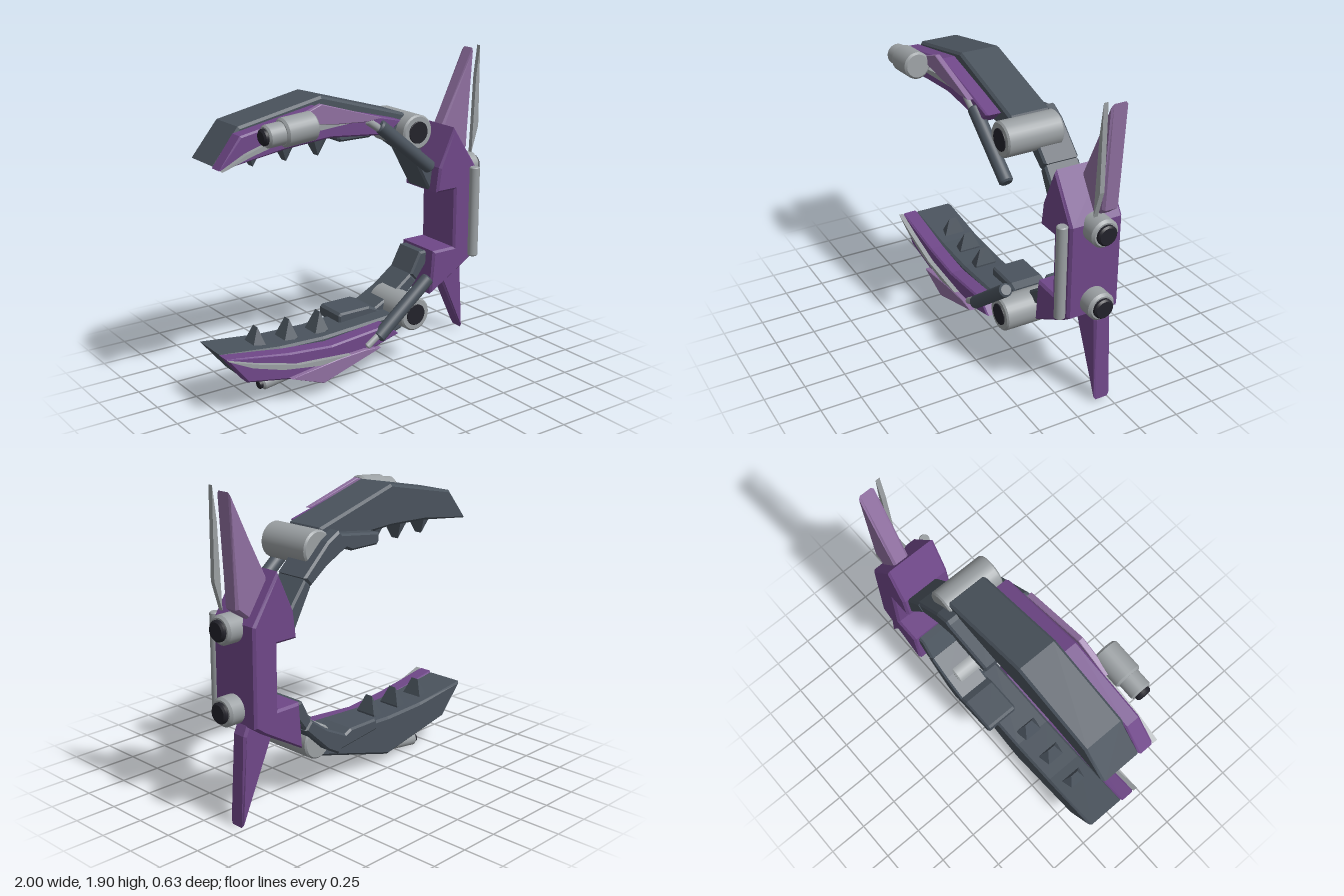
import * as THREE from 'three';

const mat = (name, color) => {
  const m = new THREE.MeshStandardMaterial({ color });
  m.name = name;
  return m;
};
const MID = 1.825; // twice the height of the mirror plane between the two jaws

export function createModel() {
  const root = new THREE.Group();
  root.name = 'jawShip';
  const slate = mat('slate', 0x4a535d);
  const purple = mat('purple', 0x6f4788);
  const lilac = mat('lilac', 0x8f6fa0);
  const grey = mat('grey', 0x9a9fa2);
  const black = mat('black', 0x22222a);

  const add = (parent, name, geometry, material) => {
    const mesh = new THREE.Mesh(geometry, material);
    mesh.name = name;
    parent.add(mesh);
    return mesh;
  };

  // Plate with chamfered edges, spanning z0 to z1
  const plate = (parent, name, pts, z0, z1, material, bevel = 0.012) => {
    const shape = new THREE.Shape(pts.map(([x, y]) => new THREE.Vector2(x, y)));
    const g = new THREE.ExtrudeGeometry(shape, {
      depth: z1 - z0 - 2 * bevel, bevelEnabled: bevel > 0, bevelThickness: bevel,
      bevelSize: bevel, bevelOffset: -bevel, bevelSegments: 1,
    });
    g.translate(0, 0, z0 + bevel);
    return add(parent, name, g, material);
  };

  // Cylinder with softened rims between two points
  const rod = (parent, name, a, b, r, material, rim = 0.01) => {
    const p = new THREE.Vector3(...a), q = new THREE.Vector3(...b);
    const h = p.distanceTo(q);
    const profile = [[0, 0], [r - rim, 0], [r - rim, 0], [r, rim], [r, rim], [r, h - rim],
      [r, h - rim], [r - rim, h], [r - rim, h], [0, h]];
    const g = new THREE.LatheGeometry(profile.map(([x, y]) => new THREE.Vector2(x, y)), 28);
    const mesh = add(parent, name, g, material);
    mesh.position.copy(p);
    mesh.quaternion.setFromUnitVectors(new THREE.Vector3(0, 1, 0), q.sub(p).normalize());
    return mesh;
  };

  // Wedge tooth narrowing to a short ridge
  const tooth = (parent, x, fy) => {
    const shape = new THREE.Shape([[-0.07, 0.28], [0.025, 0.28], [0.03, 0.33], [0, 0.435]]
      .map(([dx, y]) => new THREE.Vector2(x + dx, fy(y))));
    const g = new THREE.ExtrudeGeometry(shape, { depth: 0.14, bevelEnabled: false });
    g.translate(0, 0, -0.07);
    const p = g.attributes.position;
    for (let i = 0; i < p.count; i++) {
      if (Math.abs(p.getY(i) - fy(0.435)) < 0.001) p.setZ(i, p.getZ(i) * 0.35);
    }
    g.translate(0, 0, -0.08);
    g.computeVertexNormals();
    add(parent, 'tooth', g, slate);
  };

  // Two mirrored jaws
  for (const upper of [false, true]) {
    const fy = (y) => (upper ? MID - y : y);
    const flip = (pts) => pts.map(([x, y]) => [x, fy(y)]);
    const jaw = new THREE.Group();
    jaw.name = upper ? 'upperJaw' : 'lowerJaw';
    root.add(jaw);

    plate(jaw, 'jawBeam', flip([[-0.99, 0.37], [-0.83, 0.175], [-0.3, 0.068], [0.28, 0.235],
      [0.32, 0.32], [0.2, 0.34], [-0.3, 0.315], [-0.6, 0.325]]), -0.21, 0.05, slate, 0.014);
    plate(jaw, 'jawSidePlate', flip([[-1, 0.376], [-0.87, 0.205], [-0.37, 0.11], [0.02, 0.205],
      [0.19, 0.25], [0.1, 0.325], [-0.3, 0.29], [-0.59, 0.315]]), 0.04, 0.138, purple, 0.01);
    plate(jaw, 'jawOverlay', flip([[-0.6, 0.168], [-0.38, 0.085], [0.03, 0.21], [-0.08, 0.222],
      [-0.28, 0.21]]), 0.138, 0.172, lilac, 0.004);
    plate(jaw, 'jawBlade', flip([[-1, 0.375], [-0.82, 0.315], [-0.55, 0.243], [-0.14, 0.212],
      [-0.4, 0.2], [-0.65, 0.238], [-0.85, 0.3]]), 0.138, 0.168, grey, 0);
    for (const x of [-0.69, -0.475, -0.26]) tooth(jaw, x, fy);

    // Arm links leading back to the hull
    plate(jaw, 'innerLink', flip([[-0.115, 0.31], [-0.115, 0.365], [-0.1, 0.38], [0.11, 0.38],
      [0.22, 0.33], [0.2, 0.27]]), -0.285, -0.06, slate);
    plate(jaw, 'middleLink', flip([[0.12, 0.34], [0.21, 0.25], [0.3, 0.3], [0.48, 0.47],
      [0.43, 0.525], [0.3, 0.43]]), -0.285, -0.065, slate);
    plate(jaw, 'outerLink', upper
      ? [[0.428, 1.3], [0.476, 1.348], [0.62, 1.16], [0.62, 1.05], [0.567, 1.05]]
      : [[0.43, 0.52], [0.476, 0.472], [0.545, 0.56], [0.6, 0.62], [0.56, 0.655], [0.503, 0.655]],
    -0.285, -0.065, slate);

    // Hinge barrel and strut
    rod(jaw, 'hinge', [0.32, fy(0.342), -0.225], [0.32, fy(0.342), 0.13], 0.104, grey);
    rod(jaw, 'hingeCap', [0.32, fy(0.342), 0.1], [0.32, fy(0.342), 0.136], 0.066, black, 0.002);
    rod(jaw, 'strutSleeve', [0.03, fy(0.26), 0.135], [0.41, fy(0.565), 0.135], 0.041, slate);
    rod(jaw, 'strutRod', [-0.055, fy(0.222), 0.138], [0.1, fy(0.325), 0.138], 0.022, grey, 0.005);
  }

  // Cannon beside the upper jaw
  const at = (x, y0, slope, z) => [x, y0 + slope * x, z];
  const big = (x) => at(x, 1.69, 0.085, 0.235);
  rod(root, 'cannonBody', big(-0.68), big(-0.48), 0.081, grey, 0.012);
  rod(root, 'cannonBarrel', big(-0.78), big(-0.66), 0.064, grey);
  rod(root, 'cannonMuzzle', big(-0.805), big(-0.76), 0.046, black);

  // Small cannon under the lower jaw
  const small = (x) => at(x, 0.133, 0.135, -0.11);
  rod(root, 'smallCannonBody', small(-0.642), small(-0.43), 0.041, grey);
  rod(root, 'smallCannonMuzzle', small(-0.665), small(-0.62), 0.027, black, 0.005);

  // Hull
  plate(root, 'hull', [[0.7, 1.44], [0.88, 1.17], [0.88, 0.6], [0.81, 0.55], [0.53, 0.39],
    [0.55, 0.67], [0.71, 0.67], [0.71, 1.045], [0.567, 1.045], [0.588, 1.2]],
  -0.315, 0.012, purple, 0.014);

  // Fins
  plate(root, 'upperFin', [[0.965, 1.885], [0.72, 1.4], [0.72, 1.2], [0.86, 1.2], [0.935, 1.26]],
    -0.25, -0.148, lilac, 0.014);
  plate(root, 'lowerFin', [[0.7, 0.505], [0.93, 0.02], [0.905, 0.55], [0.87, 0.63], [0.74, 0.63]],
    -0.255, -0.152, purple, 0.014);
  plate(root, 'finBlade', [[0.972, 1.908], [0.947, 1.72], [0.925, 1.235], [0.975, 1.4]],
    -0.122, -0.094, grey, 0);

  // Engines and side pipe
  for (const y of [1.142, 0.682]) {
    rod(root, 'engine', [0.84, y, -0.147], [0.975, y, -0.147], 0.084, grey, 0.014);
    rod(root, 'engineNozzle', [0.95, y, -0.147], [1, y, -0.147], 0.06, black);
  }
  rod(root, 'sidePipe', [0.84, 0.6, 0.042], [0.84, 1.18, 0.042], 0.032, grey, 0.006);

  return root;
}
